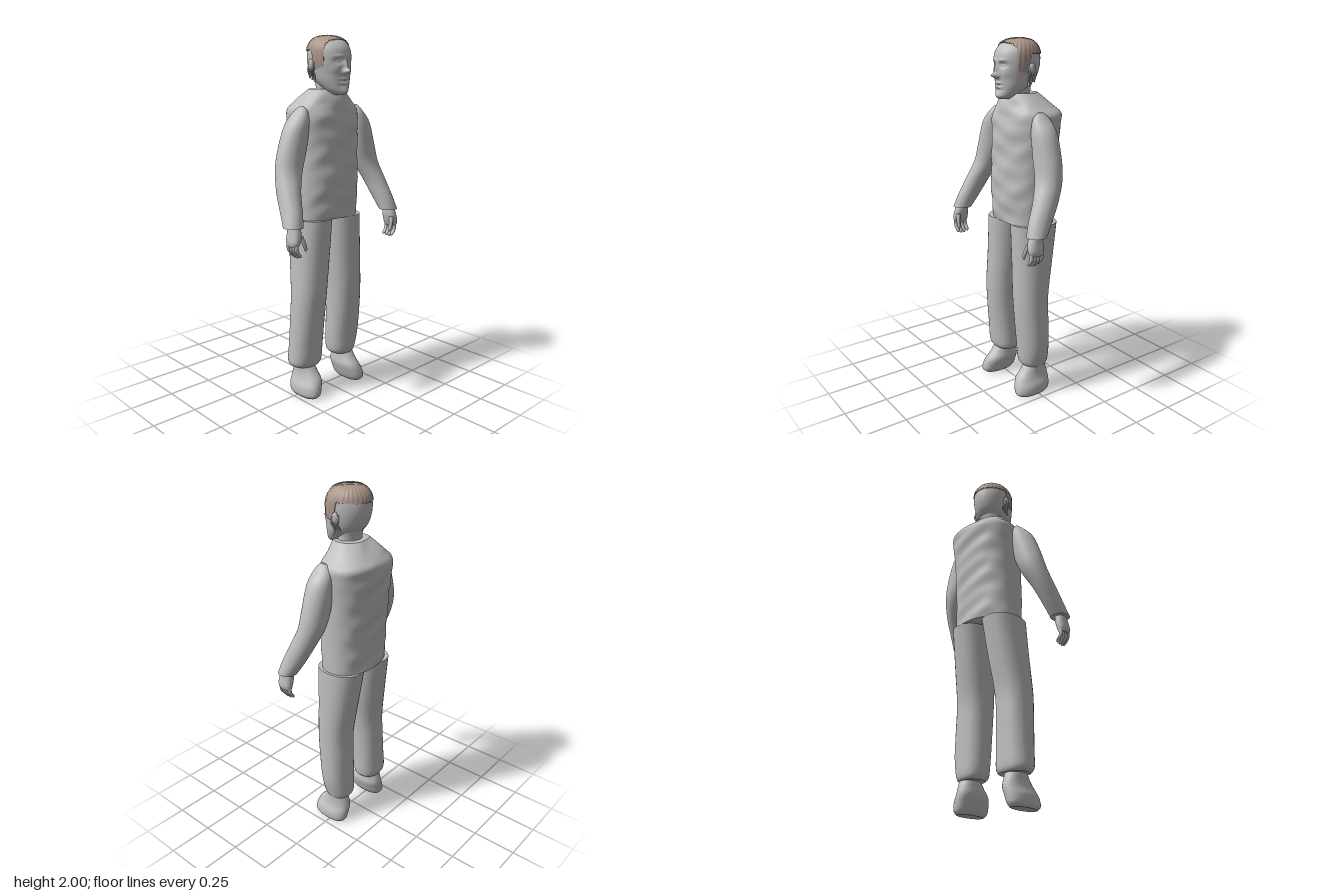
import * as THREE from 'three';

const grey = new THREE.MeshStandardMaterial({ color: 0xbebebe });
grey.name = 'plain grey';
const brown = new THREE.MeshStandardMaterial({ color: 0xab968a, side: THREE.DoubleSide });
brown.name = 'hair brown';

// Smooth interpolation through a table of cross-sections
function sample(rows, t) {
  const n = rows.length - 1;
  const i = Math.min(Math.floor(t), n - 1), u = t - i;
  const p0 = rows[Math.max(i - 1, 0)], p1 = rows[i], p2 = rows[i + 1], p3 = rows[Math.min(i + 2, n)];
  return p1.map((b, k) => {
    const v0 = (p2[k] - p0[k]) / 2, v1 = (p3[k] - b) / 2, d = b - p2[k];
    return (2 * d + v0 + v1) * u ** 3 + (-3 * d - 2 * v0 - v1) * u * u + v0 * u + b;
  });
}

// Point on a section [y, xMin, xMax, zFront, zBack] at angle a (0 = front)
function ringPoint(rows, t, a, power = 1) {
  const [y, x0, x1, zf, zb] = sample(rows, t);
  const bend = (v) => Math.sign(v) * Math.abs(v) ** power;
  return new THREE.Vector3(
    (x0 + x1) / 2 + (x1 - x0) / 2 * bend(Math.sin(a)), y,
    (zf + zb) / 2 + (zf - zb) / 2 * bend(Math.cos(a)));
}

// Closed-around grid of points, with optional flat ends
function skin(point, rings, sides, caps = true) {
  const pos = [], index = [];
  for (let i = 0; i <= rings; i++)
    for (let j = 0; j < sides; j++) pos.push(...point(i / rings, j / sides * Math.PI * 2).toArray());
  for (let i = 0; i < rings; i++)
    for (let j = 0; j < sides; j++) {
      const a = i * sides + j, b = i * sides + (j + 1) % sides;
      index.push(a, b, b + sides, a, b + sides, a + sides);
    }
  if (caps) for (const end of [0, 1]) {
    const base = pos.length / 3, mid = new THREE.Vector3();
    for (let j = 0; j < sides; j++) {
      const p = point(end, j / sides * Math.PI * 2);
      pos.push(...p.toArray());
      mid.addScaledVector(p, 1 / sides);
    }
    pos.push(...mid.toArray());
    for (let j = 0; j < sides; j++) {
      const a = base + j, b = base + (j + 1) % sides, c = base + sides;
      index.push(...(end ? [a, b, c] : [b, a, c]));
    }
  }
  const g = new THREE.BufferGeometry();
  g.setAttribute('position', new THREE.Float32BufferAttribute(pos, 3));
  g.setIndex(index);
  g.computeVertexNormals();
  return g;
}

function loft(rows, { rings = 30, sides = 32, power = 1, warp } = {}) {
  const r = [...rows].sort((a, b) => a[0] - b[0]);
  return skin((v, a) => {
    const p = ringPoint(r, v * (r.length - 1), a, power);
    if (warp) warp(p, a);
    return p;
  }, rings, sides);
}

const mirror = (rows, shift = () => 0) =>
  rows.map(([y, x0, x1, zf, zb]) => [y, -x1 + shift(y), -x0 + shift(y), zf, zb]);

const torsoRows = [
  [1.02, -0.187, 0.21, 0.11, -0.16], [1.2, -0.187, 0.21, 0.125, -0.17], [1.4, -0.187, 0.213, 0.12, -0.185],
  [1.55, -0.193, 0.222, 0.115, -0.2], [1.61, -0.19, 0.22, 0.105, -0.203], [1.65, -0.155, 0.18, 0.095, -0.17],
  [1.69, -0.12, 0.14, 0.085, -0.125], [1.72, -0.09, 0.11, 0.07, -0.087]];
const rightLegRows = [
  [0.17, -0.235, -0.07, 0.055, -0.085], [0.2, -0.255, -0.055, 0.07, -0.095], [0.3, -0.25, -0.053, 0.08, -0.093],
  [0.45, -0.243, -0.05, 0.095, -0.09], [0.6, -0.237, -0.04, 0.105, -0.09], [0.8, -0.222, -0.015, 0.106, -0.12],
  [1.02, -0.207, 0.008, 0.11, -0.155]];
const leftLegRows = [
  [0.17, 0.06, 0.2, 0.055, -0.085], [0.2, 0.043, 0.213, 0.07, -0.095], [0.3, 0.036, 0.232, 0.08, -0.093],
  [0.45, 0.035, 0.233, 0.095, -0.09], [0.6, 0.032, 0.23, 0.105, -0.09], [0.8, 0.02, 0.228, 0.106, -0.12],
  [1.02, 0.008, 0.224, 0.11, -0.155]];
const rightFootRows = [
  [0, -0.225, -0.14, 0.11, -0.075], [0.02, -0.237, -0.125, 0.13, -0.09], [0.06, -0.235, -0.11, 0.127, -0.095],
  [0.1, -0.218, -0.1, 0.11, -0.095], [0.14, -0.21, -0.105, 0.075, -0.085], [0.2, -0.21, -0.11, 0.03, -0.06]];
const rightArmRows = [
  [1.03, -0.415, -0.31, 0.197, 0.09], [1.1, -0.4, -0.292, 0.175, 0.045], [1.2, -0.382, -0.26, 0.13, -0.01],
  [1.3, -0.36, -0.21, 0.09, -0.05], [1.4, -0.335, -0.172, 0.08, -0.062], [1.53, -0.285, -0.152, 0.075, -0.06],
  [1.6, -0.225, -0.155, 0.055, -0.04], [1.632, -0.192, -0.175, 0.025, -0.005]];
const palmRows = [
  [0.935, -0.395, -0.355, 0.19, 0.115], [0.96, -0.4, -0.345, 0.2, 0.11],
  [1.0, -0.395, -0.335, 0.195, 0.11], [1.04, -0.39, -0.335, 0.18, 0.115]];
const neckRows = [
  [1.66, -0.07, 0.09, 0.06, -0.08], [1.72, -0.06, 0.08, 0.065, -0.055], [1.79, -0.065, 0.085, 0.06, -0.07]];
const headRows = [
  [1.69, -0.015, 0.035, 0.125, 0.06], [1.7, -0.035, 0.055, 0.135, 0.03], [1.72, -0.055, 0.075, 0.137, 0],
  [1.76, -0.078, 0.098, 0.136, -0.055], [1.8, -0.09, 0.11, 0.137, -0.092], [1.86, -0.1, 0.12, 0.141, -0.112],
  [1.92, -0.1, 0.12, 0.135, -0.112], [1.96, -0.085, 0.105, 0.108, -0.095], [1.985, -0.055, 0.075, 0.068, -0.062],
  [1.995, -0.005, 0.025, 0.015, -0.015]];

// Gentle cloth folds
function folds(p, a) {
  const f = 0.0025 * (Math.sin(p.y * 62 + 2 * Math.sin(a * 3)) + Math.sin(p.y * 35 - a * 5));
  p.z += f * Math.cos(a);
}

// Nose, brow, eye, mouth and chin relief on the front of the head
function face(p, a) {
  if (Math.cos(a) < 0.2) return;
  const x = p.x - 0.01, y = p.y;
  const bump = (cx, cy, w, h, d) => d * Math.exp(-(((x - cx) / w) ** 2) - ((y - cy) / h) ** 2);
  let z = bump(0, 1.812, 0.015, 0.014, 0.036) + bump(0, 1.843, 0.011, 0.028, 0.016);
  z += bump(0, 1.762, 0.026, 0.006, -0.005) + bump(0, 1.773, 0.026, 0.006, 0.006);
  z += bump(0, 1.752, 0.022, 0.006, 0.006) + bump(0, 1.737, 0.03, 0.007, -0.005) + bump(0, 1.708, 0.028, 0.013, 0.007);
  for (const s of [-1, 1]) {
    z += bump(s * 0.037, 1.864, 0.022, 0.014, -0.015) + bump(s * 0.037, 1.863, 0.013, 0.006, 0.008);
    z += bump(s * 0.036, 1.888, 0.028, 0.008, 0.005) + bump(s * 0.014, 1.808, 0.008, 0.008, 0.007);
    z += bump(s * 0.055, 1.82, 0.022, 0.02, 0.004);
  }
  p.z += z;
}

// Lower edge of the hair by angle from the front, in head section steps
const hairEdge = [[0, 7.5], [0.7, 7.2], [1.0, 6.4], [1.08, 4.6], [1.58, 4.45], [1.66, 6], [Math.PI, 5.95]];
function hairline(a) {
  const d = Math.min(a, Math.PI * 2 - a);
  const k = Math.max(1, hairEdge.findIndex(([e]) => e >= d - 1e-6));
  const [a0, t0] = hairEdge[k - 1], [a1, t1] = hairEdge[k];
  return THREE.MathUtils.lerp(t0, t1, (d - a0) / (a1 - a0)) + 0.08 * Math.sin(a * 41);
}

export function createModel() {
  const model = new THREE.Group();
  model.name = 'standing man';
  const add = (name, geometry, material = grey, parent = model) => {
    const m = new THREE.Mesh(geometry, material);
    m.name = name;
    parent.add(m);
    return m;
  };

  // Clothes
  add('jacket', loft(torsoRows, { rings: 80, sides: 64, power: 0.85, warp: folds }));
  add('rightTrouserLeg', loft(rightLegRows, { rings: 40, power: 0.9 }));
  add('leftTrouserLeg', loft(leftLegRows, { rings: 40, power: 0.9 }));

  // Arms, hands and feet on both sides
  for (const side of [-1, 1]) {
    const label = side < 0 ? 'right' : 'left';
    const place = (rows, shift) => (side < 0 ? rows : mirror(rows, shift));
    add(label + 'Sleeve', loft(place(rightArmRows, (y) => 0.045 * (y - 1.03)), { rings: 40 }));
    add(label + 'Foot', loft(place(rightFootRows, () => -0.013), { power: 0.9 }));

    const hand = new THREE.Group();
    hand.name = label + 'Hand';
    model.add(hand);
    add('palm', loft(place(palmRows), { power: 0.85 }), grey, hand);
    [0.122, 0.143, 0.164, 0.184].forEach((z, i) => {
      const tip = 0.868 + 0.006 * Math.abs(i - 1.5);
      const r = 0.0105;
      const finger = [[0.95, -0.387, -0.365, z + r, z - r], [0.915, -0.386, -0.364, z + r, z - r],
        [tip + 0.012, -0.366, -0.347, z + r, z - r], [tip, -0.355, -0.347, z + 0.004, z - 0.004]];
      add('finger', loft(place(finger), { rings: 12, sides: 12 }), grey, hand);
    });
    const thumb = [[0.99, -0.362, -0.335, 0.197, 0.17], [0.95, -0.345, -0.322, 0.203, 0.182],
      [0.92, -0.333, -0.315, 0.203, 0.186], [0.908, -0.327, -0.319, 0.198, 0.19]];
    add('thumb', loft(place(thumb), { rings: 12, sides: 12 }), grey, hand);
  }

  // Head
  add('neck', loft(neckRows));
  add('head', loft(headRows, { rings: 110, sides: 128, warp: face }));
  for (const s of [-1, 1]) {
    const ear = add('ear', new THREE.SphereGeometry(1, 20, 14));
    ear.scale.set(0.014, 0.036, 0.02);
    ear.position.set(0.01 + s * 0.115, 1.84, 0);
    ear.rotation.z = -s * 0.15;
    // Loose locks below the ears
    for (let i = 0; i < 3; i++) {
      const z = 0.02 - i * 0.018, x = 0.01 + s * 0.112;
      const path = new THREE.CatmullRomCurve3([
        new THREE.Vector3(x, 1.86, z), new THREE.Vector3(x + s * 0.012, 1.82, z),
        new THREE.Vector3(x - s * 0.006, 1.785, z - 0.005), new THREE.Vector3(x - s * 0.002, 1.755 + i * 0.01, z)]);
      add('lock', new THREE.TubeGeometry(path, 12, 0.005, 6));
    }
  }

  // Hair cap following the skull
  add('hair', skin((v, a) => {
    const t = THREE.MathUtils.lerp(hairline(a), headRows.length - 1, v);
    const p = ringPoint(headRows, t, a);
    const out = p.clone().sub(new THREE.Vector3(0.01, 1.87, 0.01)).normalize();
    return p.addScaledVector(out, 0.005 + 0.001 * Math.sin(a * 30));
  }, 24, 160), brown);

  return model;
}
